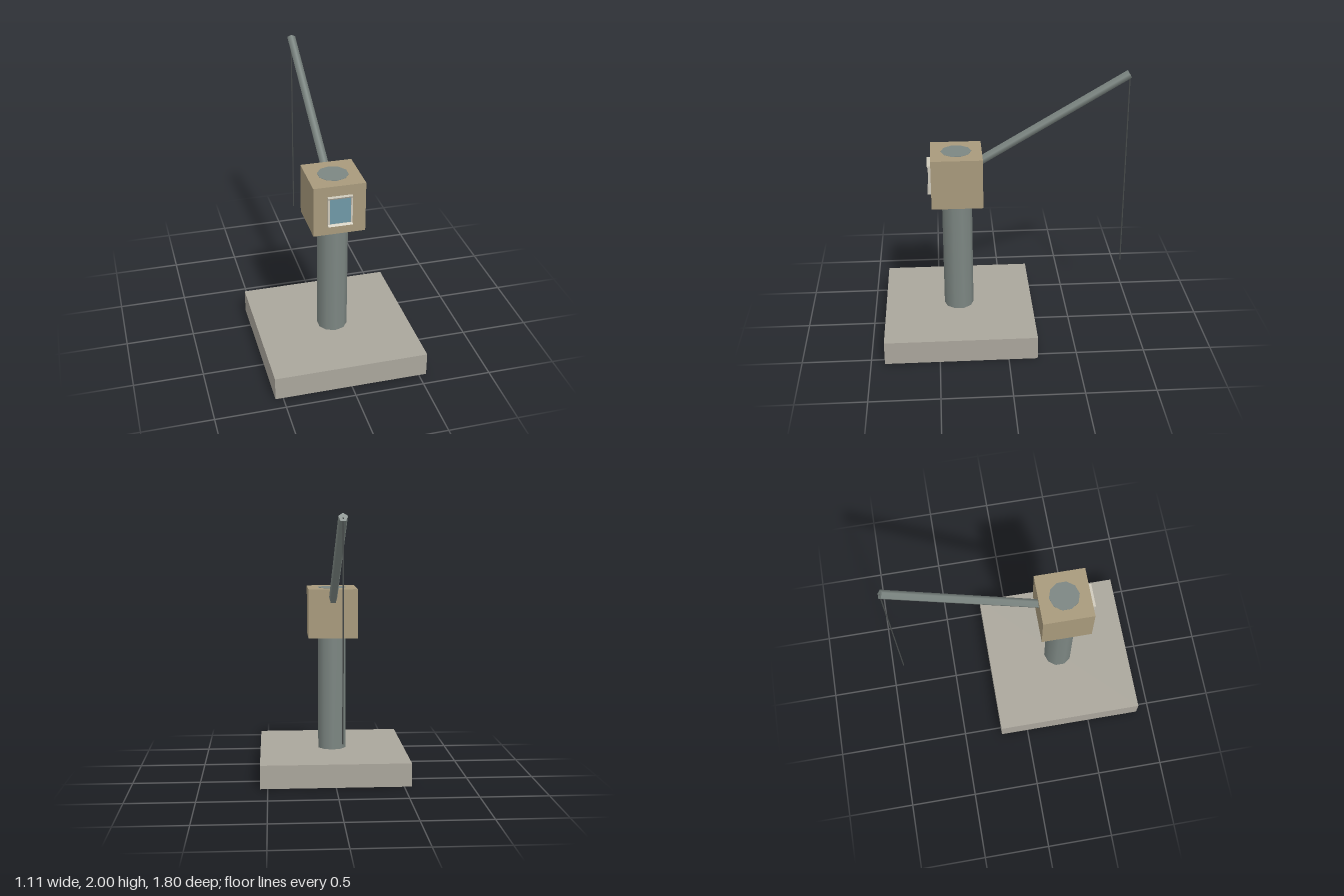
import * as THREE from 'three';

export function createModel() {
  const model = new THREE.Group();
  const mat = (color, flatShading = false) => new THREE.MeshStandardMaterial({ color, flatShading });
  const stone = mat(0xaaa69c, true), steel = mat(0x7c8682), sand = mat(0xa89a7c, true);
  const trim = mat(0xcfcabc, true), glass = mat(0x6f98a6, true), dark = mat(0x4a4e4e);

  const add = (name, geometry, material, x, y, z, parent = model) => {
    const mesh = new THREE.Mesh(geometry, material);
    mesh.name = name;
    mesh.position.set(x, y, z);
    parent.add(mesh);
    return mesh;
  };
  const box = (w, h, d) => new THREE.BoxGeometry(w, h, d);
  const axisZ = 0.345;

  // Base slab, ten-sided column showing as a disc on the roof, and cabin
  add('base', box(1.11, 0.175, 1.11), stone, 0, 0.0875, axisZ);
  add('column', new THREE.CylinderGeometry(0.11, 0.11, 1.251, 10), steel, 0, 0.796, axisZ);
  add('cabin', box(0.37, 0.37, 0.37), sand, 0, 1.235, axisZ);

  // Window: recessed pane, side bars, and bevelled top and bottom bars
  const frame = new THREE.Group();
  frame.name = 'window';
  frame.position.set(0, 1.235, 0.53);
  model.add(frame);
  add('windowPane', box(0.156, 0.2, 0.014), glass, 0, 0, 0.007, frame);
  const section = new THREE.Shape([[0, 0.096], [0.02, 0.096], [0.029, 0.11], [0, 0.11]]
    .map(([z, y]) => new THREE.Vector2(z, y)));
  for (const s of [-1, 1]) {
    add('windowSideBar', box(0.012, 0.2, 0.02), trim, s * 0.081, 0, 0.01, frame);
    const bar = new THREE.ExtrudeGeometry(section, { depth: 0.174, bevelEnabled: false });
    bar.translate(0, 0, -0.087).rotateY(-Math.PI / 2);
    // Half turn about z flips the top bar into the bottom bar
    if (s < 0) bar.rotateZ(Math.PI);
    add(s > 0 ? 'windowTopBar' : 'windowBottomBar', bar, trim, 0, 0, 0, frame);
  }

  // Five-sided boom rising backwards out of the cabin
  const start = new THREE.Vector3(0, 1.24, axisZ);
  const tip = new THREE.Vector3(0, 1.972, -0.884);
  const span = tip.clone().sub(start);
  const mid = start.clone().add(tip).multiplyScalar(0.5);
  const boom = add('boom', new THREE.CylinderGeometry(0.0325, 0.0325, span.length(), 5),
    steel, mid.x, mid.y, mid.z);
  boom.rotation.x = Math.atan2(span.z, span.y);

  // Cable hanging from the boom tip
  add('cable', new THREE.CylinderGeometry(0.005, 0.005, 1.475, 5), dark, 0, 1.2325, -0.886);

  return model;
}
